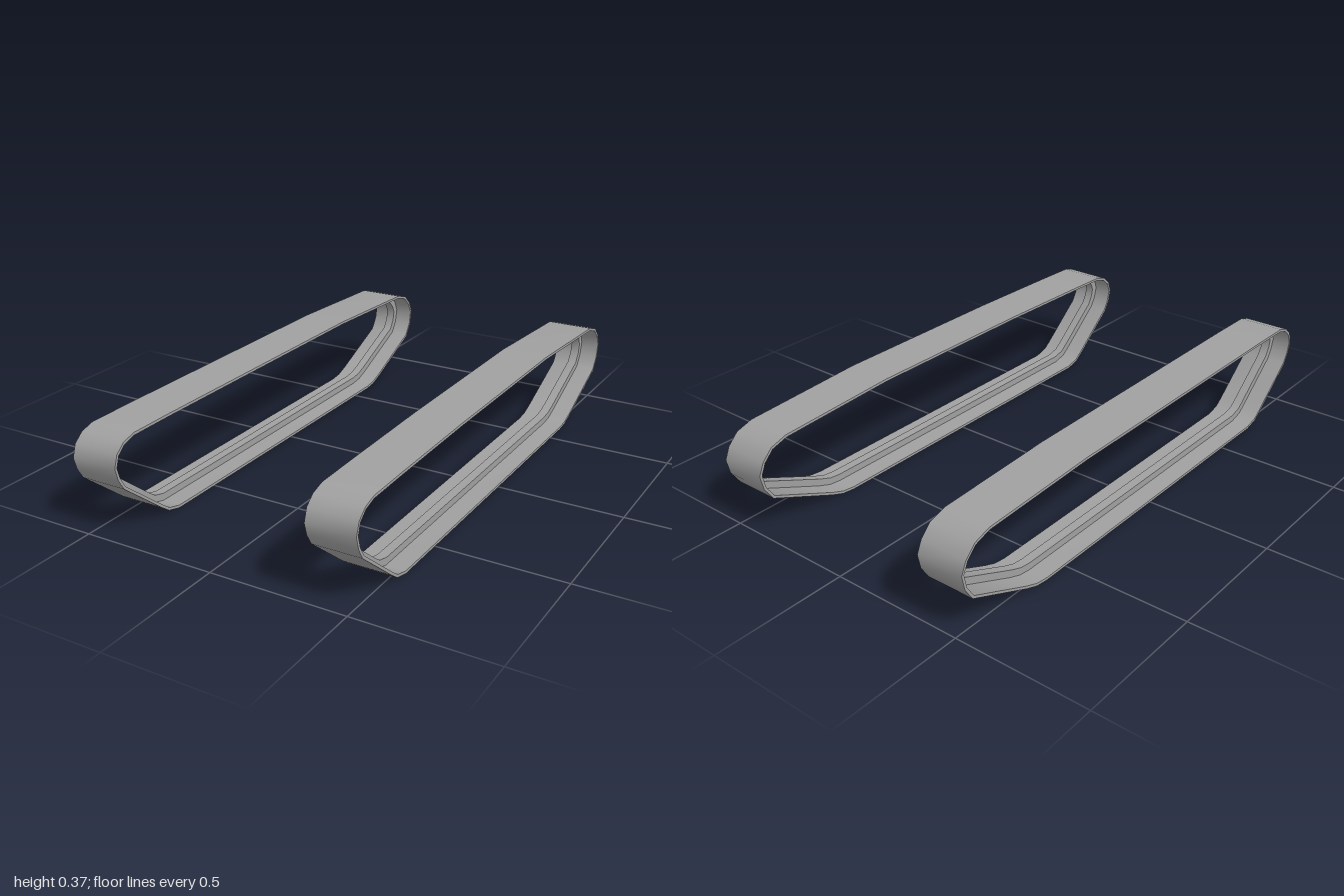
import * as THREE from 'three';
import { toCreasedNormals } from 'three/addons/utils/BufferGeometryUtils.js';

const rubber = new THREE.MeshStandardMaterial({ color: 0xa0a0a0 });
rubber.name = 'track grey';

// Outer track outline as (z, y), counter-clockwise from the rear of the ground run
const outline = [
  [-0.6, 0], [0.7, 0], [0.755, 0.014], [0.79, 0.04], [0.965, 0.185], [0.988, 0.225],
  [1, 0.27], [0.985, 0.315], [0.95, 0.345], [0.9, 0.36], [0.73, 0.364], [0.33, 0.37],
  [-0.4, 0.37], [-0.875, 0.345], [-0.94, 0.325], [-0.98, 0.285], [-1, 0.24],
  [-0.988, 0.185], [-0.955, 0.135], [-0.7, 0.024], [-0.65, 0.006],
];

// Moves a closed outline inwards by d with mitred corners
function inset(points, d) {
  const n = points.length;
  return points.map((p, i) => {
    const a = p.clone().sub(points[(i + n - 1) % n]).normalize();
    const b = points[(i + 1) % n].clone().sub(p).normalize();
    const na = new THREE.Vector2(-a.y, a.x);
    const m = na.clone().add(new THREE.Vector2(-b.y, b.x)).normalize();
    return p.clone().addScaledVector(m, d / m.dot(na));
  });
}

// Closed belt between two insets of the outline, centred on x = 0
function belt(points, from, to, width) {
  const shape = new THREE.Shape(inset(points, from));
  shape.holes.push(new THREE.Path(inset(points, to)));
  const geometry = new THREE.ExtrudeGeometry(shape, { depth: width, bevelEnabled: false });
  geometry.translate(0, 0, -width / 2).rotateY(-Math.PI / 2);
  return toCreasedNormals(geometry, 0.9);
}

function makeTrack(name, x, topLimit) {
  const points = outline.map(([z, y]) => new THREE.Vector2(z, Math.min(y, topLimit)));
  const track = new THREE.Group();
  track.name = name;
  const band = new THREE.Mesh(belt(points, 0, 0.01, 0.176), rubber);
  band.name = 'trackBand';
  // Raised rib along the middle of the inner face
  const rib = new THREE.Mesh(belt(points, 0.009, 0.036, 0.034), rubber);
  rib.name = 'guideRib';
  track.add(band, rib);
  track.position.x = x;
  return track;
}

export function createModel() {
  const model = new THREE.Group();
  model.name = 'trackPair';
  // The right track's upper run hangs slightly lower
  model.add(makeTrack('leftTrack', 0.445, 0.37), makeTrack('rightTrack', -0.446, 0.362));
  return model;
}
